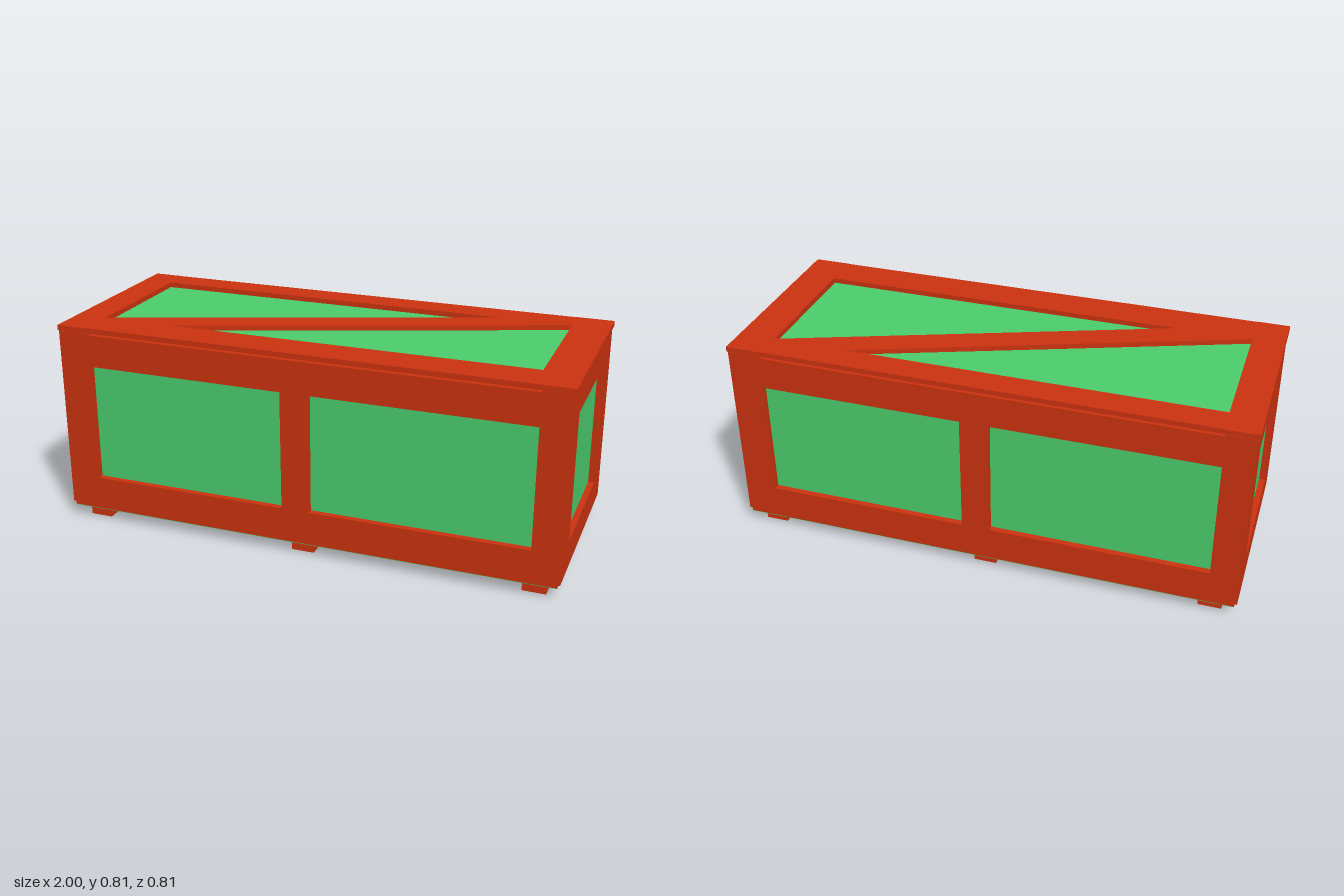
import * as THREE from 'three';

const red = new THREE.MeshStandardMaterial({ color: 0xcc330f });
const green = new THREE.MeshStandardMaterial({ color: 0x4bce6d });

// Box given by its extents on each axis
function board(parent, name, [x0, x1], [y0, y1], [z0, z1], material = red) {
  const mesh = new THREE.Mesh(new THREE.BoxGeometry(x1 - x0, y1 - y0, z1 - z0), material);
  mesh.position.set((x0 + x1) / 2, (y0 + y1) / 2, (z0 + z1) / 2);
  mesh.name = name;
  parent.add(mesh);
  return mesh;
}

// One long side and one end; two of these, half a turn apart, wrap the crate
function wallPair(name) {
  const group = new THREE.Group();
  group.name = name;

  // Long side frame: full-height stiles, rails and a middle post
  const z = [0.38, 0.404];
  board(group, 'longSideStile', [-0.993, -0.865], [0.065, 0.79], z);
  board(group, 'longSideStile', [0.882, 0.993], [0.065, 0.79], z);
  board(group, 'longSideBottomRail', [-0.865, 0.882], [0.065, 0.187], z);
  board(group, 'longSideTopRail', [-0.865, 0.882], [0.657, 0.784], z);
  board(group, 'longSidePost', [-0.075, 0.035], [0.187, 0.657], z);

  // End frame: full-width rails with stiles between
  const x = [0.97, 0.993];
  board(group, 'endBottomRail', x, [0.065, 0.18], [-0.38, 0.38]);
  board(group, 'endTopRail', x, [0.677, 0.787], [-0.38, 0.38]);
  board(group, 'endStile', x, [0.18, 0.677], [0.273, 0.38]);
  board(group, 'endStile', x, [0.18, 0.677], [-0.38, -0.257]);
  return group;
}

export function createModel() {
  const crate = new THREE.Group();
  crate.name = 'crate';

  // Inner panels and base
  board(crate, 'panelBox', [-0.97, 0.97], [0.06, 0.79], [-0.38, 0.38], green);
  board(crate, 'baseEdge', [-0.983, 0.983], [0.052, 0.065], [-0.403, 0.403]);
  board(crate, 'basePlate', [-0.983, 0.983], [0.05, 0.052], [-0.403, 0.403], green);

  // Walls
  crate.add(wallPair('frontAndLeftFrames'));
  const rear = wallPair('backAndRightFrames');
  rear.rotation.y = Math.PI;
  crate.add(rear);

  // Lid frame
  const y = [0.79, 0.81];
  board(crate, 'lidEndBoard', [-1, -0.875], y, [-0.402, 0.402]);
  board(crate, 'lidEndBoard', [0.855, 1], y, [-0.402, 0.402]);
  board(crate, 'lidRail', [-0.875, 0.855], y, [-0.4, -0.29]);
  board(crate, 'lidRail', [-0.875, 0.855], y, [0.255, 0.4]);

  // Diagonal lid brace, drawn in x and -z and laid flat
  const outline = [[-0.875, -0.255], [-0.585, -0.255], [0.855, 0.29], [0.565, 0.29]];
  const shape = new THREE.Shape(outline.map(([px, py]) => new THREE.Vector2(px, py)));
  const brace = new THREE.Mesh(
    new THREE.ExtrudeGeometry(shape, { depth: 0.02, bevelEnabled: false }), red);
  brace.rotation.x = -Math.PI / 2;
  brace.position.y = 0.79;
  brace.name = 'lidBrace';
  crate.add(brace);

  // Skids
  for (const cx of [-0.89, -0.005, 0.895]) {
    board(crate, 'skid', [cx - 0.045, cx + 0.045], [0, 0.05], [-0.367, 0.367]);
  }
  return crate;
}
